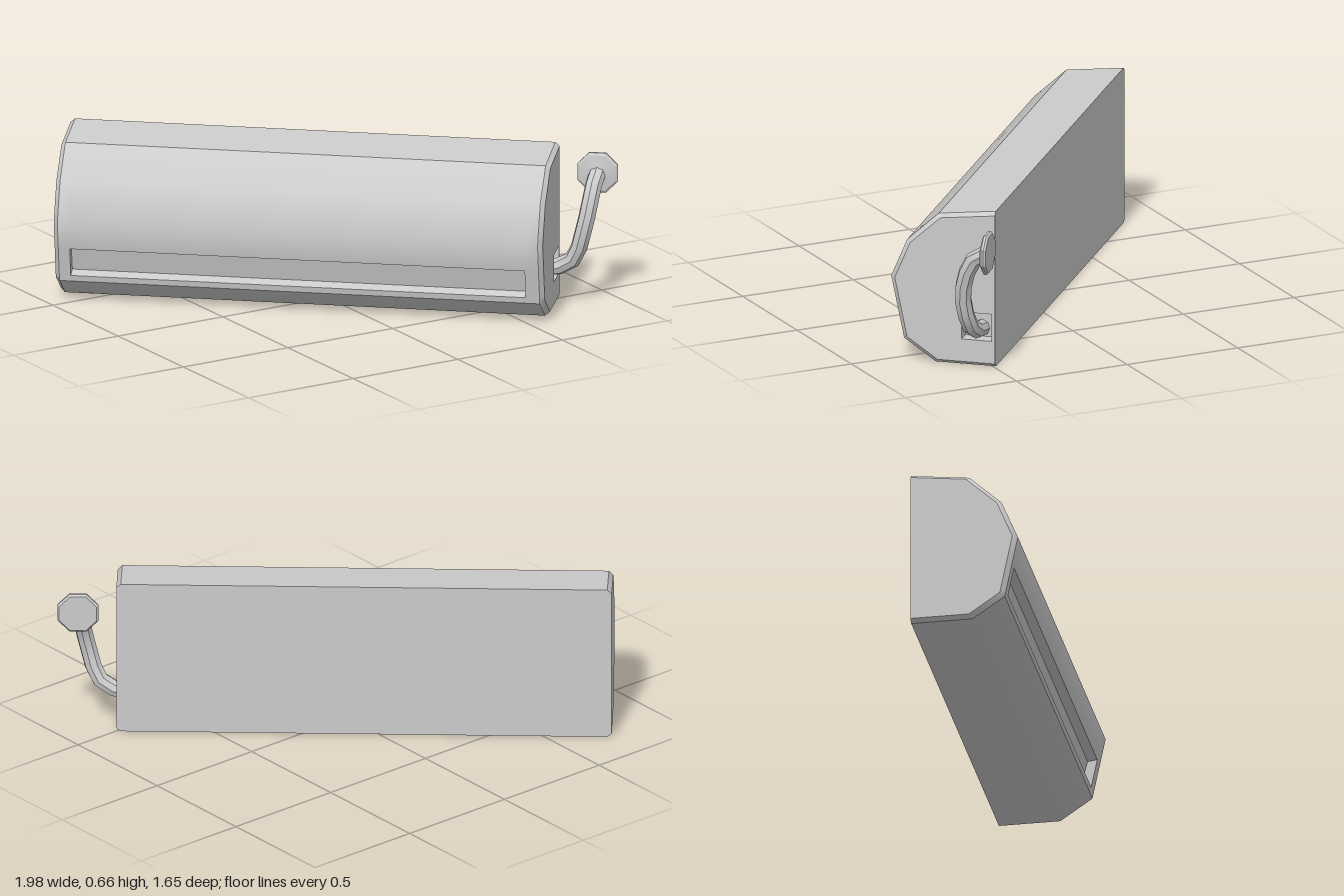
import * as THREE from 'three';
import { toCreasedNormals } from 'three/addons/utils/BufferGeometryUtils.js';

const HALF = 1.005; // half length of the body

// Cross-section corners as [z, y], from the back bottom round the front to the back top
const bottom = [[0, 0], [0.253, 0], [0.386, 0.09]];
const top = [[0.44, 0.35], [0.373, 0.51], [0.24, 0.632], [0, 0.66]];
const slotLow = [0.391, 0.115], slotHigh = [0.416, 0.235];
const slotFloor = [[0.351, 0.13], [0.376, 0.23]];
const plain = [...bottom, slotLow, slotLow, slotHigh, slotHigh, ...top];
const slotted = [...bottom, slotLow, ...slotFloor, slotHigh, ...top];

// Pocket in the right end, where the lever comes out
const pocket = { z0: 0.013, z1: 0.14, y0: 0.11, y1: 0.225, depth: 0.06 };

const inset = (points) => points.map(([z, y]) => [z * 0.955, 0.33 + (y - 0.33) * 0.955]);

function bodyGeometry() {
  const pos = [];
  const tri = (a, b, c) => {
    const v = [a, b, c].map((p) => new THREE.Vector3(...p));
    if (new THREE.Triangle(...v).getArea() > 1e-7) pos.push(...a, ...b, ...c);
  };

  // Side faces: chamfered ends, with the slot cut between two doubled sections
  const sections = [
    [-HALF, inset(plain)], [-HALF + 0.018, plain], [-0.94, plain], [-0.94, slotted],
    [0.93, slotted], [0.93, plain], [HALF - 0.018, plain], [HALF, inset(plain)],
  ].map(([x, pts]) => pts.map(([z, y]) => [x, y, z]));
  for (let s = 0; s < sections.length - 1; s++) {
    const p = sections[s], q = sections[s + 1], n = p.length;
    for (let i = 0; i < n; i++) {
      const j = (i + 1) % n;
      tri(p[i], q[i], q[j]);
      tri(p[i], q[j], p[j]);
    }
  }

  // End faces, the right one with the pocket opening
  const outline = inset([...bottom, ...top]).map((p) => new THREE.Vector2(...p));
  const { z0, z1, y0, y1 } = pocket;
  const hole = [[z0, y0], [z0, y1], [z1, y1], [z1, y0]].map((p) => new THREE.Vector2(...p));
  for (const side of [-1, 1]) {
    const holes = side > 0 ? [hole] : [];
    const all = [...outline, ...holes.flat()].map((p) => [side * HALF, p.y, p.x]);
    for (const [a, b, c] of THREE.ShapeUtils.triangulateShape(outline, holes)) {
      if (side > 0) tri(all[a], all[c], all[b]);
      else tri(all[a], all[b], all[c]);
    }
  }

  const geo = new THREE.BufferGeometry();
  geo.setAttribute('position', new THREE.Float32BufferAttribute(pos, 3));
  return toCreasedNormals(geo, 0.614);
}

export function createModel() {
  const model = new THREE.Group();
  model.name = 'wallDispenser';
  const grey = new THREE.MeshStandardMaterial({ color: 0xcccccc });
  const add = (name, geo, material = grey) => {
    const mesh = new THREE.Mesh(geo, material);
    mesh.name = name;
    model.add(mesh);
    return mesh;
  };

  add('body', bodyGeometry());

  // Pocket walls, seen from the inside
  const { z0, z1, y0, y1, depth } = pocket;
  const inside = new THREE.MeshStandardMaterial({ color: 0xcccccc, side: THREE.BackSide });
  add('leverPocket', new THREE.BoxGeometry(depth, y1 - y0, z1 - z0), inside)
    .position.set(HALF - depth / 2, (y0 + y1) / 2, (z0 + z1) / 2);

  // Bent lever
  const path = new THREE.CatmullRomCurve3([
    [0.95, 0.148, 0.07], [1.0, 0.152, 0.072], [1.075, 0.195, 0.085], [1.122, 0.33, 0.102],
    [1.147, 0.46, 0.072], [1.157, 0.53, 0.022], [1.16, 0.535, -0.005],
  ].map((p) => new THREE.Vector3(...p)));
  add('lever', toCreasedNormals(new THREE.TubeGeometry(path, 8, 0.035, 8), 0.6));

  // Eight-sided push pad facing backward
  const padProfile = [[0, -0.012], [0.082, -0.012], [0.09, -0.004], [0.09, 0.006], [0.08, 0.013], [0.04, 0.018], [0, 0.03]]
    .map((p) => new THREE.Vector2(...p));
  const pad = new THREE.LatheGeometry(padProfile, 8, Math.PI / 8);
  pad.rotateX(Math.PI / 2);
  add('pushPad', toCreasedNormals(pad, 0.4)).position.set(1.16, 0.537, -0.012);

  // The whole unit stands turned
  model.rotation.y = -0.722;
  model.position.set(0.045, 0, -0.165);
  const root = new THREE.Group();
  root.name = 'dispenser';
  root.add(model);
  return root;
}
